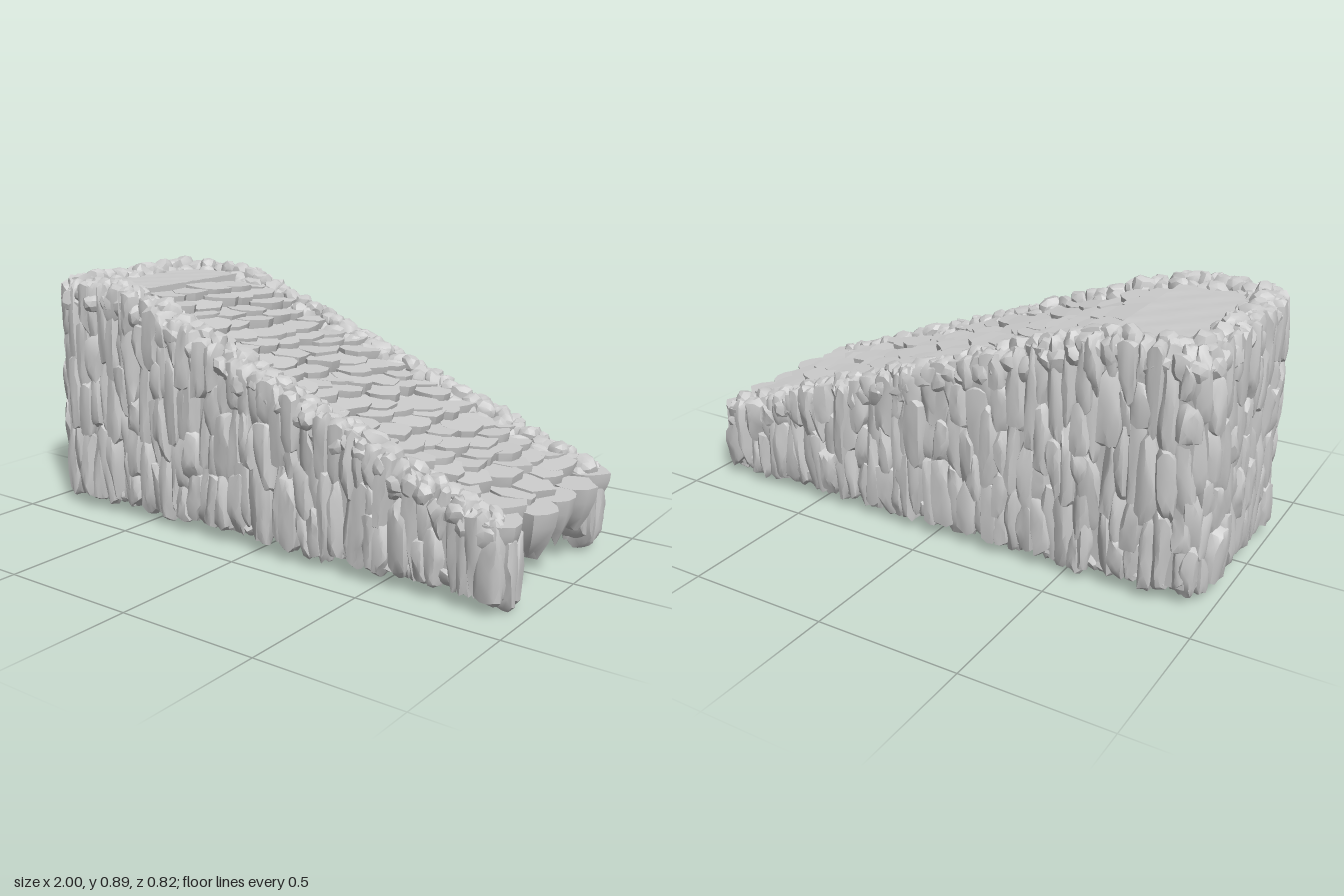
import * as THREE from 'three';
import { mergeGeometries, mergeVertices, toCreasedNormals } from 'three/addons/utils/BufferGeometryUtils.js';

// Small seeded random source
let seed = 7;
function rand(a = 0, b = 1) {
  seed = (seed * 1664525 + 1013904223) >>> 0;
  return a + (b - a) * (seed / 4294967296);
}

// Heights along the ramp: crest of the rim, and walking surface
const rimTop = x => 0.865 - 0.373 * Math.max(0, x + 0.6);
const floorTop = x => 0.83 - 0.365 * Math.max(0, x + 0.6);

// Unit balls that are reshaped into stones
function unitBall(detail) {
  const g = new THREE.IcosahedronGeometry(1, detail);
  g.deleteAttribute('uv');
  g.deleteAttribute('normal');
  return mergeVertices(g, 1e-4);
}
const balls = { 1: unitBall(1), 2: unitBall(2) };

// Rounded block with several chipped faces; w, h, d are full sizes
function stone(w, h, d, detail = 1, power = 6) {
  const g = balls[detail].clone();
  const p = g.attributes.position;
  const chips = Array.from({ length: 7 }, () => ({
    n: new THREE.Vector3(rand(-1, 1), rand(-0.8, 0.8), rand(-1, 1)).normalize(),
    limit: rand(0.8, 1.05),
  }));
  const v = new THREE.Vector3();
  for (let i = 0; i < p.count; i++) {
    v.fromBufferAttribute(p, i);
    const len = (Math.abs(v.x) ** power + Math.abs(v.y) ** power + Math.abs(v.z) ** power) ** (1 / power);
    v.divideScalar(len);
    for (const c of chips) {
      const over = v.dot(c.n) - c.limit;
      if (over > 0) v.addScaledVector(c.n, -over);
    }
    v.multiplyScalar(rand(0.93, 1.05));
    p.setXYZ(i, v.x * w / 2, v.y * h / 2, v.z * d / 2);
  }
  return g;
}

function place(g, x, y, z, ry = 0, rx = 0, rz = 0) {
  g.applyMatrix4(new THREE.Matrix4().makeRotationFromEuler(new THREE.Euler(rx, ry, rz, 'YXZ')));
  return g.translate(x, y, z);
}

// Flat-topped paving block with a ragged outline, rounding in towards its base; top sits at y = 0
function paver(rx, rz, h, taper) {
  const sides = 11;
  const g = new THREE.CylinderGeometry(1, 1, h, sides, 3);
  g.deleteAttribute('uv');
  g.deleteAttribute('normal');
  const edge = Array.from({ length: sides }, () => rand(0.82, 1.14));
  const base = Array.from({ length: sides }, () => rand(-0.15, 0.15));
  const p = g.attributes.position;
  for (let i = 0; i < p.count; i++) {
    const a = Math.atan2(p.getZ(i), p.getX(i));
    const side = (Math.round(a / (2 * Math.PI) * sides - 0.25 * sides) + 2 * sides) % sides;
    const t = 0.5 - p.getY(i) / h;
    const k = edge[side] * (1 - (1 - taper) * t ** 2);
    p.setXYZ(i, p.getX(i) * k * rx, -h * t * (1 + t * base[side]), p.getZ(i) * k * rz);
  }
  return g;
}

// U-shaped plan line: front side, rounded far end, back side (2D y is world z)
function planLine(endX, farX, halfZ, r) {
  const path = new THREE.Path();
  path.moveTo(endX, halfZ);
  path.lineTo(farX + r, halfZ);
  path.quadraticCurveTo(farX, halfZ, farX, halfZ - r);
  path.lineTo(farX, r - halfZ);
  path.quadraticCurveTo(farX, -halfZ, farX + r, -halfZ);
  path.lineTo(endX, -halfZ);
  return path;
}

function alongLine(path, pitch, visit) {
  const n = Math.round(path.getLength() / pitch);
  for (let i = 0; i <= n; i++) {
    const u = THREE.MathUtils.clamp((i + rand(-0.3, 0.3)) / n, 0, 1);
    const pt = path.getPointAt(u), t = path.getTangentAt(u);
    visit(pt.x, pt.y, Math.atan2(-t.y, t.x));
  }
}

// Columns of upright stones stacked along a plan line
function wallStones(path, pitch, depth, detail, drop) {
  const out = [];
  alongLine(path, pitch, (x, z, turn) => {
    const top = rimTop(x) - drop;
    let y = rand(0.025, 0.05);
    while (y < top - 0.03) {
      let h = Math.min(rand(0.1, 0.28), top - y);
      if (top - y - h < 0.08) h = top - y;
      const w = pitch * rand(1.2, 1.9);
      const g = stone(w, h + 0.045, depth * rand(0.85, 1.15), detail);
      out.push(place(g, x + rand(-0.012, 0.012), y + h / 2 + 0.015, z + rand(-0.008, 0.008),
        turn + rand(-0.2, 0.2), rand(-0.04, 0.04), rand(-0.05, 0.05)));
      y += h;
    }
  });
  return out;
}

// Slab following the ramp outline, centred on z
function rampSlab(points, width, z) {
  const g = new THREE.ExtrudeGeometry(new THREE.Shape(points.map(p => new THREE.Vector2(...p))),
    { depth: width, bevelEnabled: false });
  g.deleteAttribute('uv');
  return g.translate(0, 0, z - width / 2);
}

export function createModel() {
  seed = 7;
  const model = new THREE.Group();
  model.name = 'stoneRamp';
  const material = new THREE.MeshStandardMaterial({ color: 0xcccccc });
  function add(name, parts, crease = 0.6) {
    const plain = parts.map(g => {
      const flat = g.index ? g.toNonIndexed() : g;
      flat.deleteAttribute('normal');
      return flat;
    });
    const mesh = new THREE.Mesh(toCreasedNormals(mergeGeometries(plain), crease), material);
    mesh.name = name;
    model.add(mesh);
  }

  // Solid cores hidden inside the walls
  const side = [[-0.92, 0.06], [0.86, 0.06], [0.86, floorTop(0.86) - 0.03], [-0.6, 0.8], [-0.92, 0.8]];
  const endCore = new THREE.BoxGeometry(0.09, 0.74, 0.66);
  endCore.deleteAttribute('uv');
  add('wallCore', [rampSlab(side, 0.08, 0.325), rampSlab(side, 0.08, -0.325), endCore.translate(-0.9, 0.43, 0)]);

  // Outer and inner faces of the three walls
  add('outerWallStones', wallStones(planLine(0.9, -0.945, 0.356, 0.13), 0.047, 0.08, 2, 0.05));
  add('innerWallStones', wallStones(planLine(0.88, -0.85, 0.278, 0.06), 0.06, 0.08, 1, 0.09));

  // Stones along the foot of the walls
  const foot = [];
  alongLine(planLine(0.88, -0.9, 0.32, 0.1), 0.07, (x, z, turn) =>
    foot.push(place(stone(0.1, 0.08, 0.11), x, 0.075, z, turn + rand(-0.3, 0.3))));
  add('footStones', foot);

  // Upright stones closing the low ends of the side walls
  const pillars = [];
  for (const s of [1, -1]) {
    [[0.25, 0.05, 0.88], [0.285, 0.005, 0.9], [0.325, 0, 0.905], [0.365, 0.03, 0.89]].forEach(([z, low, x]) =>
      pillars.push(place(stone(0.1, 0.25 - low, 0.075, 2), x, (0.25 + low) / 2, s * z, rand(-0.2, 0.2))));
  }
  add('endPillars', pillars);

  // Rough crest: angular stones three abreast, highest along the middle
  const rim = [];
  [[0.36, -0.945, 0.035], [0.318, -0.915, 0], [0.282, -0.88, 0.025]].forEach(([halfZ, farX, drop]) => {
    alongLine(planLine(0.88, farX, halfZ, 0.11), 0.054, (x, z, turn) => {
      const h = rand(0.065, 0.1);
      rim.push(place(stone(rand(0.07, 0.11), h, rand(0.055, 0.08), 1, 3),
        x, rimTop(x) - drop - h / 2 + rand(-0.012, 0.012), z,
        turn + rand(-0.8, 0.8), rand(-0.4, 0.4), rand(-0.4, 0.4)));
    });
  });
  add('rimStones', rim, 0.45);

  // Level landing at the high end
  const landing = new THREE.BoxGeometry(0.34, 0.06, 0.62, 10, 1, 18);
  landing.deleteAttribute('uv');
  const lp = landing.attributes.position;
  for (let i = 0; i < lp.count; i++) {
    lp.setY(i, lp.getY(i) + 0.0015 * Math.sin(lp.getX(i) * 47 + Math.sin(lp.getZ(i) * 39) * 2));
  }
  add('landing', [landing.translate(-0.77, 0.8, 0)]);

  // Bed under the paving
  add('rampBed', [rampSlab([[-0.92, 0.72], [-0.6, 0.72], [0.86, floorTop(0.86) - 0.09],
    [0.86, floorTop(0.86) - 0.03], [-0.6, 0.8], [-0.92, 0.8]], 0.6, 0)]);

  // Staggered rows of paving blocks stepping down the slope
  const paving = [];
  const rows = 18;
  for (let r = 0; r < rows; r++) {
    const count = r % 2 ? 5 : 6;
    for (let i = 0; i < count; i++) {
      const x = -0.56 + r * 0.081 + rand(-0.025, 0.025);
      const z = (i - (count - 1) / 2) * 0.115 + rand(-0.02, 0.02);
      paving.push(place(paver(rand(0.065, 0.085), rand(0.065, 0.09), 0.1, 0.65),
        x, floorTop(x + 0.015) + rand(-0.008, 0.006), z, 0, rand(-0.06, 0.06), rand(-0.16, -0.02)));
    }
  }
  add('pavingStones', paving);

  // Five overhanging blocks at the low end
  const lip = [0.312, 0.14, -0.02, -0.16, -0.315].map((z, i) => {
    const outer = i % 4 === 0;
    return place(paver(0.08, outer ? 0.084 : 0.078, outer ? 0.085 : 0.15, outer ? 0.75 : 0.38),
      outer ? 0.885 : 0.905, 0.277 + rand(-0.004, 0.004), z, 0, 0, -0.03);
  });
  add('lipStones', lip, 0.7);

  return model;
}
